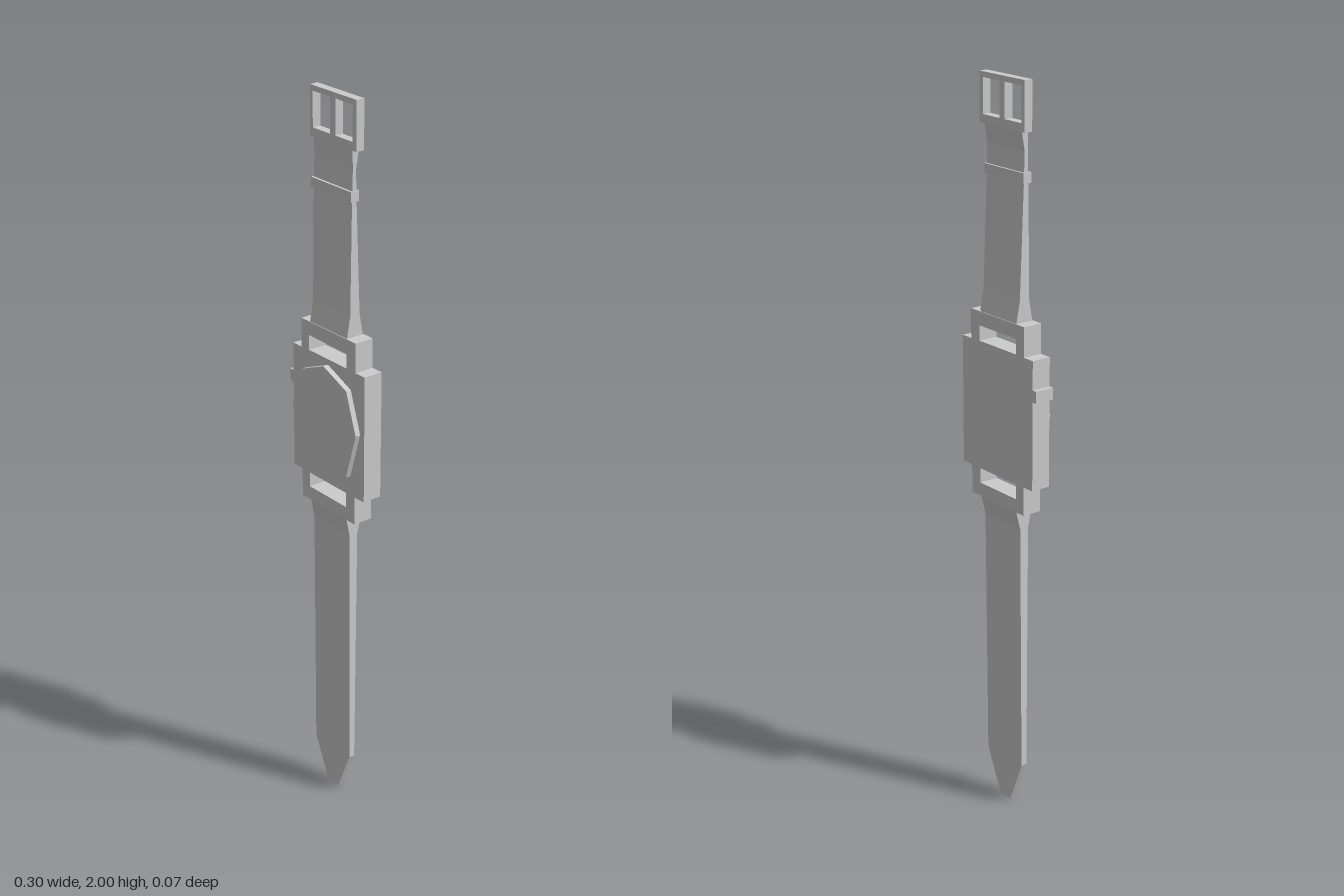
import * as THREE from 'three';

const CX = 0.004; // strap centre line
const material = new THREE.MeshStandardMaterial({ color: 0xcccccc, flatShading: true });

function outline(points, PathType = THREE.Shape) {
  return new PathType(points.map(([x, y]) => new THREE.Vector2(x, y)));
}

function rect(x0, x1, y0, y1) {
  return [[x0, y0], [x1, y0], [x1, y1], [x0, y1]];
}

// Flat plate between two depths, with optional openings
function plate(name, points, z0, z1, holes = []) {
  const shape = outline(points);
  shape.holes = holes.map((h) => outline(h, THREE.Path));
  const geometry = new THREE.ExtrudeGeometry(shape, { depth: z1 - z0, bevelEnabled: false });
  geometry.translate(0, 0, z0);
  const mesh = new THREE.Mesh(geometry, material);
  mesh.name = name;
  return mesh;
}

// Strap lofted through rectangular sections [y, halfWidth, front z, back z], bottom to top
function strap(name, sections) {
  const positions = [];
  const index = [];
  for (const [y, w, f, b] of sections) {
    positions.push(CX - w, y, f, CX + w, y, f, CX + w, y, b, CX - w, y, b);
  }
  for (let i = 0; i < sections.length - 1; i++) {
    for (let j = 0; j < 4; j++) {
      const a = i * 4 + j;
      const b = i * 4 + ((j + 1) % 4);
      index.push(a, b, b + 4, a, b + 4, a + 4);
    }
  }
  const t = (sections.length - 1) * 4;
  index.push(0, 2, 1, 0, 3, 2, t, t + 1, t + 2, t, t + 2, t + 3);
  const indexed = new THREE.BufferGeometry();
  indexed.setAttribute('position', new THREE.Float32BufferAttribute(positions, 3));
  indexed.setIndex(index);
  const geometry = indexed.toNonIndexed();
  geometry.computeVertexNormals();
  const mesh = new THREE.Mesh(geometry, material);
  mesh.name = name;
  return mesh;
}

export function createModel() {
  const group = new THREE.Group();
  group.name = 'wristwatch';
  const back = -0.036;
  const front = 0.019;

  // Case with stepped lugs and a slot at each end
  group.add(plate('case', [
    [-0.138, 0.963], [-0.103, 0.963], [-0.103, 0.884], [0.114, 0.884], [0.114, 0.963], [0.15, 0.963],
    [0.15, 1.312], [0.114, 1.312], [0.114, 1.392], [-0.103, 1.392], [-0.103, 1.312], [-0.138, 1.312],
  ], back, front, [
    rect(-0.072, 0.079, 1.313, 1.354),
    rect(-0.072, 0.079, 0.921, 0.962),
  ]));

  // Raised octagonal dial
  group.add(plate('dial', [
    [0.005, 0.98], [0.096, 1.018], [0.134, 1.148], [0.096, 1.26],
    [0.005, 1.298], [-0.086, 1.26], [-0.124, 1.148], [-0.086, 1.018],
  ], front, 0.034));

  group.add(plate('crown', rect(-0.152, -0.138, 1.203, 1.235), back, front));

  // Long strap with a pointed tip
  group.add(strap('lowerStrap', [
    [0, 0.022, 0.001, -0.012],
    [0.127, 0.074, 0.003, -0.014],
    [0.83, 0.074, 0.006, -0.02],
    [0.884, 0.074, 0.017, -0.034],
  ]));

  // Short strap, thinning towards the buckle
  group.add(strap('upperStrap', [
    [1.392, 0.074, 0.017, -0.034],
    [1.45, 0.074, 0.007, -0.023],
    [1.75, 0.074, 0.003, -0.011],
    [1.825, 0.074, 0.001, -0.009],
    [1.875, 0.074, 0.002, -0.018],
  ]));

  group.add(plate('keeperLoop', rect(-0.074, 0.081, 1.745, 1.772), -0.016, 0.009));

  // Buckle frame with a centre prong
  group.add(plate('buckle', rect(-0.084, 0.093, 1.873, 2), -0.021, 0.003, [
    rect(-0.073, -0.007, 1.895, 1.986),
    rect(0.014, 0.079, 1.895, 1.986),
  ]));

  return group;
}
